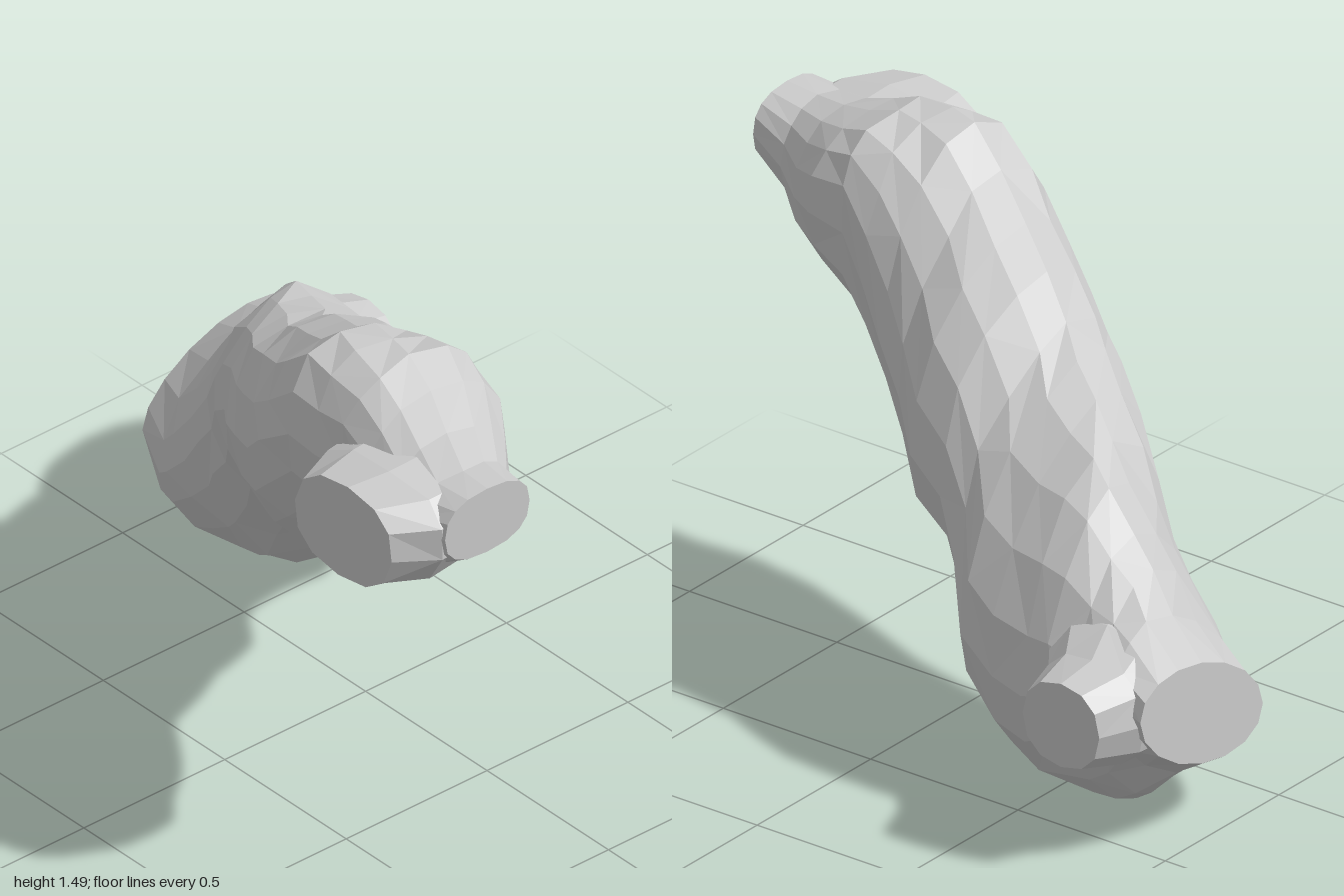
import * as THREE from 'three';

// Small seeded generator for the slightly uneven facets
function seeded(seed) {
  return () => {
    seed = (seed * 16807) % 2147483647;
    return seed / 2147483647 - 0.5;
  };
}

// Lofts skewed ellipses. Each section: [w, uMin, uMax, vMin, vMax, skew, power], w descending.
// A power below 1 makes a section boxier, above 1 pinches it towards a diamond.
// place(u, v, w) turns section coordinates into x, y, z.
function loft(name, sides, sections, place, seed) {
  const rand = seeded(seed);
  const pos = [], index = [];
  const last = sections.length - 1;
  sections.forEach(([w, u0, u1, v0, v1, skew, power = 1], i) => {
    const rough = i === 0 || i === last ? 0 : 0.025;
    const shape = (n) => Math.sign(n) * Math.abs(n) ** power;
    for (let j = 0; j < sides; j++) {
      const t = (j / sides) * Math.PI * 2;
      const c = shape(Math.cos(t)), s = shape(Math.sin(t));
      const k = 1 + rough * rand();
      const u = (u0 + u1) / 2 + ((u1 - u0) / 2) * c * k;
      const v = (v0 + v1) / 2 + ((v1 - v0) / 2) * (s * Math.sqrt(1 - skew * skew) + c * skew) * k;
      pos.push(...place(u, v, w + rough * rand()));
    }
  });
  for (let i = 0; i < last; i++) {
    for (let j = 0; j < sides; j++) {
      const a = i * sides + j, b = i * sides + ((j + 1) % sides);
      const c = a + sides, d = b + sides;
      if ((i + j) % 3) index.push(a, c, b, b, c, d);
      else index.push(a, c, d, a, d, b);
    }
  }
  // Flat end caps
  const end = last * sides;
  for (let j = 1; j < sides - 1; j++) {
    index.push(0, j, j + 1, end, end + j + 1, end + j);
  }
  const geo = new THREE.BufferGeometry();
  geo.setAttribute('position', new THREE.Float32BufferAttribute(pos, 3));
  geo.setIndex(index);
  const flat = geo.toNonIndexed();
  flat.computeVertexNormals();
  const mesh = new THREE.Mesh(flat, new THREE.MeshStandardMaterial({ color: 0xcccccc, flatShading: true }));
  mesh.name = name;
  return mesh;
}

export function createModel() {
  const group = new THREE.Group();
  group.name = 'organicStrut';

  // Main limb, from the raised front end to the low back end with its foot
  const limb = [
    [1.0, -0.58, -0.28, 1.16, 1.365, 0, 0.8],
    [0.88, -0.6, -0.24, 1.08, 1.36, 0, 0.85],
    [0.76, -0.58, -0.15, 1.01, 1.39, 0, 0.9],
    [0.64, -0.55, -0.07, 1.0, 1.44, 0, 0.8],
    [0.52, -0.53, -0.04, 0.95, 1.485, -0.03, 0.72],
    [0.41, -0.54, 0.01, 0.85, 1.485, -0.18, 0.88],
    [0.3, -0.54, 0.07, 0.75, 1.48, -0.33],
    [0.18, -0.53, 0.14, 0.64, 1.39, -0.33],
    [0.05, -0.47, 0.25, 0.53, 1.3, -0.3],
    [-0.08, -0.39, 0.31, 0.48, 1.22, -0.3],
    [-0.2, -0.32, 0.38, 0.4, 1.13, -0.4],
    [-0.3, -0.25, 0.5, 0.27, 1.08, -0.5],
    [-0.42, -0.17, 0.53, 0.13, 1.03, -0.42],
    [-0.53, -0.1, 0.54, 0.02, 0.98, -0.27, 1.12],
    [-0.62, -0.05, 0.54, 0, 0.9, -0.13, 1.2],
    [-0.7, -0.04, 0.54, 0, 0.79, -0.03, 1.2],
    [-0.77, -0.04, 0.54, 0.03, 0.71, 0.12, 1.15],
    [-0.86, 0, 0.57, 0.12, 0.63, 0.4, 1.05],
    [-1.0, 0.07, 0.61, 0.21, 0.55, 0.45],
  ];
  group.add(loft('limb', 16, limb, (x, y, z) => [x, y, z], 7));

  // Side stubs, lofted along x with sections in y and z
  const alongX = (y, z, x) => [x, y, z];
  const frontStub = [
    [-0.2, 1.1, 1.32, 0.42, 0.72, 0.2],
    [-0.32, 1.04, 1.355, 0.38, 0.9, 0.25, 0.85],
    [-0.45, 1.01, 1.365, 0.4, 0.98, 0.25, 0.8],
    [-0.57, 1.02, 1.365, 0.43, 0.99, 0.2, 0.8],
    [-0.7, 1.05, 1.355, 0.52, 0.92, 0.1, 0.85],
  ];
  group.add(loft('frontStub', 12, frontStub, alongX, 21));

  const backStub = [
    [0.7, 0.3, 0.55, -0.93, -0.67, 0, 0.9],
    [0.58, 0.28, 0.58, -0.99, -0.64, 0, 0.85],
    [0.45, 0.25, 0.62, -0.99, -0.55, 0, 0.85],
    [0.28, 0.27, 0.6, -0.97, -0.5, 0, 0.85],
  ];
  group.add(loft('backStub', 12, backStub, alongX, 43));

  return group;
}
